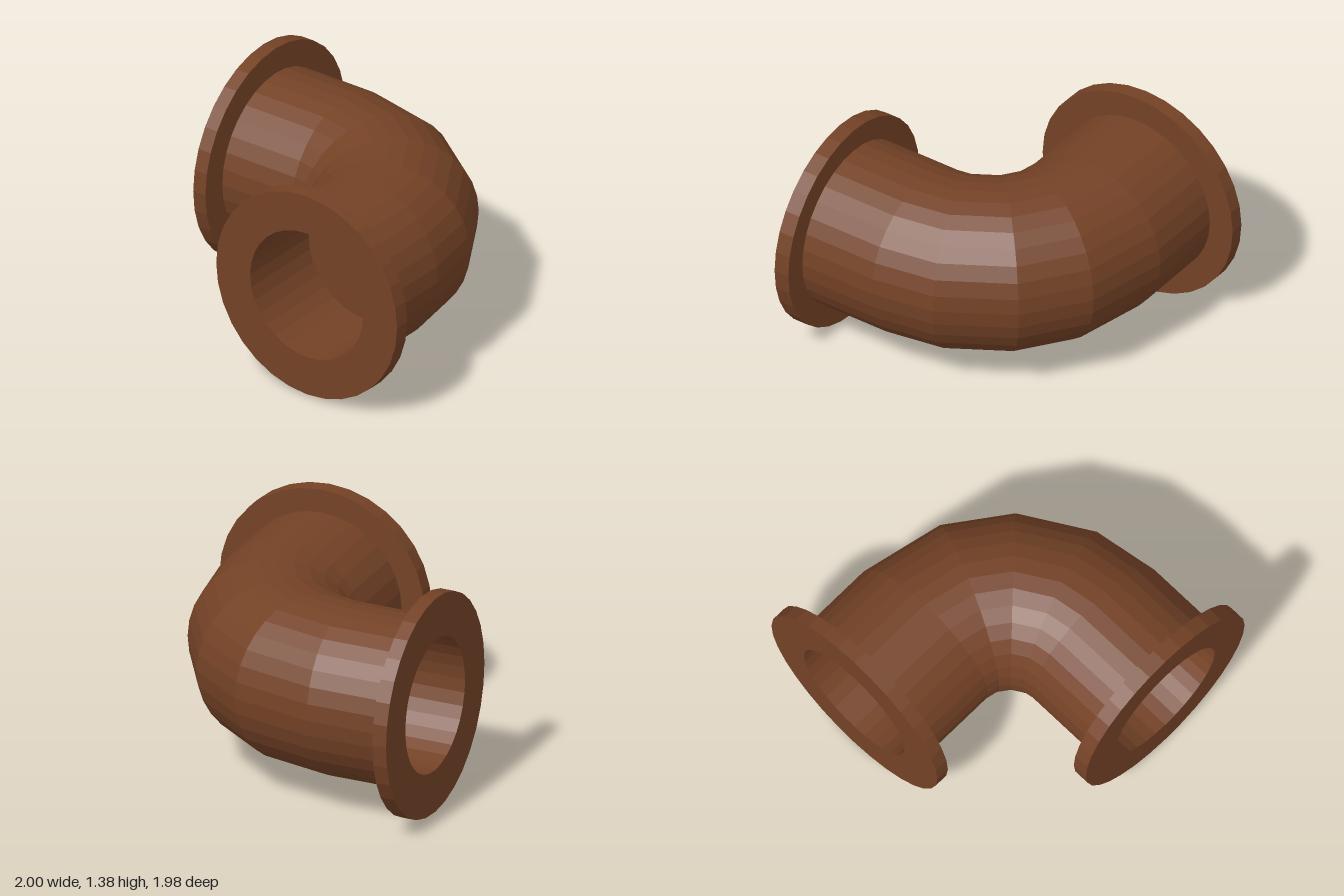
import * as THREE from 'three';

const SIDES = 32;
const AXIS_Y = 0.694;
const PIPE_RADIUS = 0.525;
const BORE_RADIUS = 0.42;

const brown = new THREE.MeshStandardMaterial({ color: 0x744226 });
brown.name = 'rust brown';

// One normal per face, for the faceted look
function faceted(geometry) {
  const flat = geometry.index ? geometry.toNonIndexed() : geometry;
  flat.computeVertexNormals();
  return flat;
}

function part(name, geometry) {
  const mesh = new THREE.Mesh(faceted(geometry), brown);
  mesh.name = name;
  return mesh;
}

function lathe(points) {
  return new THREE.LatheGeometry(points.map(([r, y]) => new THREE.Vector2(r, y)), SIDES);
}

// Flange ring with a straight bore that ends in a flat wall; its outer face is at y = 0
function pipeEnd(name, radius, thickness, depth) {
  const group = new THREE.Group();
  group.name = name;
  group.add(part('flange', lathe([
    [BORE_RADIUS, -thickness], [radius, -thickness], [radius, 0], [BORE_RADIUS, 0],
  ])));
  group.add(part('bore', lathe([[BORE_RADIUS, 0], [BORE_RADIUS, -depth], [0, -depth]])));
  return group;
}

// Outer skin: rings swept along a straight run, a quarter bend and another straight run
function elbowGeometry() {
  const pivot = new THREE.Vector3(-0.4, AXIS_Y, -0.39);
  const bendRadius = 0.708;
  const stations = [{ angle: 0, dx: -0.51, dz: 0 }];
  for (const angle of [0, 19, 43, 65, 90]) stations.push({ angle, dx: 0, dz: 0 });
  stations.push({ angle: 90, dx: 0, dz: -0.52 });

  const positions = [];
  const indices = [];
  stations.forEach(({ angle, dx, dz }, i) => {
    const a = THREE.MathUtils.degToRad(angle);
    for (let j = 0; j < SIDES; j++) {
      const t = (j / SIDES) * Math.PI * 2;
      const reach = bendRadius + PIPE_RADIUS * Math.cos(t);
      positions.push(
        pivot.x + reach * Math.sin(a) + dx,
        pivot.y + PIPE_RADIUS * Math.sin(t),
        pivot.z + reach * Math.cos(a) + dz,
      );
      if (i === stations.length - 1) continue;
      const k = (j + 1) % SIDES;
      const p = i * SIDES + j, q = p + SIDES;
      const r = (i + 1) * SIDES + k, s = i * SIDES + k;
      indices.push(p, q, r, p, r, s);
    }
  });
  const geometry = new THREE.BufferGeometry();
  geometry.setAttribute('position', new THREE.Float32BufferAttribute(positions, 3));
  geometry.setIndex(indices);
  return geometry;
}

export function createModel() {
  const model = new THREE.Group();
  model.name = 'pipeElbow';
  model.add(part('elbow', elbowGeometry()));

  // Opening facing the back
  const back = pipeEnd('backEnd', 0.692, 0.09, 0.57);
  back.rotation.x = -Math.PI / 2;
  back.position.set(0.307, AXIS_Y, -0.99);
  model.add(back);

  // Opening facing the side
  const side = pipeEnd('sideEnd', 0.672, 0.1, 0.58);
  side.rotation.z = Math.PI / 2;
  side.position.set(-1, AXIS_Y, 0.315);
  model.add(side);

  return model;
}
